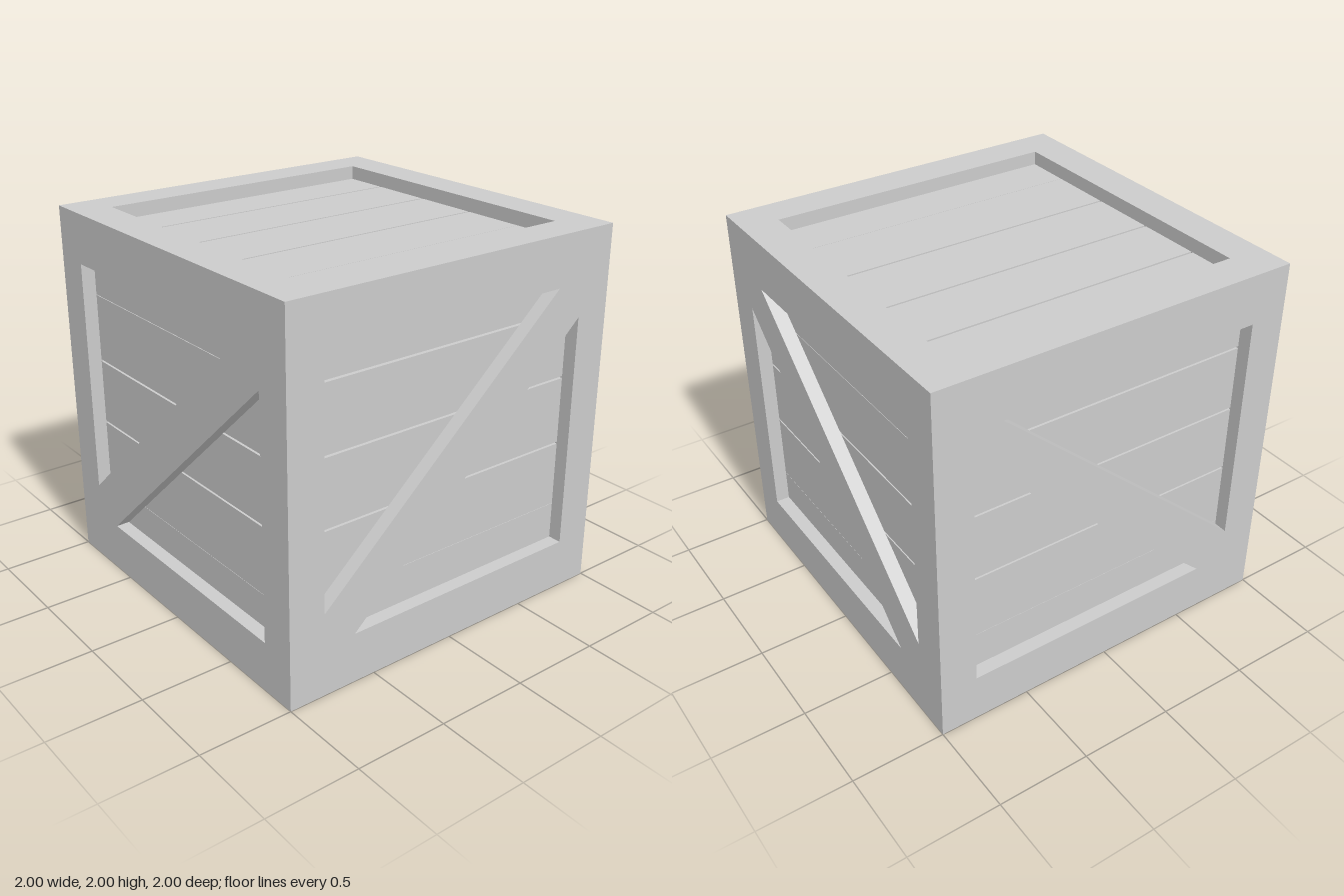
import * as THREE from 'three';

const POST = 0.2;      // frame thickness seen from above
const RAIL = 0.27;     // frame height at top and bottom
const RECESS = 0.075;  // depth of the planks behind the frame
const PLANK = 0.05;    // plank thickness
const INNER = 1 - POST;

export function createModel() {
  const crate = new THREE.Group();
  crate.name = 'woodenCrate';
  const material = new THREE.MeshStandardMaterial({ color: 0xcccccc, flatShading: true });

  const box = (parent, name, w, h, d, x, y, z) => {
    const mesh = new THREE.Mesh(new THREE.BoxGeometry(w, h, d), material);
    mesh.name = name;
    mesh.position.set(x, y, z);
    parent.add(mesh);
  };

  // Frame: four corner posts, plus a ring of rails at the bottom and the top
  const frame = new THREE.Group();
  frame.name = 'frame';
  crate.add(frame);
  for (const a of [-1, 1]) {
    const mid = 1 - POST / 2;
    for (const b of [-1, 1]) {
      box(frame, 'cornerPost', POST, 2 - 2 * RAIL, POST, a * mid, 1, b * mid);
      const railY = 1 + b * (1 - RAIL / 2);
      box(frame, 'longRail', 2, RAIL, POST, 0, railY, a * mid);
      box(frame, 'sideRail', POST, RAIL, 2 * INNER, a * mid, railY, 0);
    }
  }

  // Diagonal brace, trimmed to the opening and flush with the frame
  const braceShape = new THREE.Shape([
    [-0.8, 0.27], [-0.62, 0.27], [0.8, 1.55], [0.8, 1.73], [0.645, 1.73], [-0.8, 0.45],
  ].map(([x, y]) => new THREE.Vector2(x, y)));
  const braceGeometry = new THREE.ExtrudeGeometry(braceShape, { depth: RECESS, bevelEnabled: false });

  // Calls place(start, end) for each plank between the seams [position, gap]
  const layPlanks = (from, to, seams, place) => {
    let start = from;
    for (const [at, gap] of [...seams, [to, 0]]) {
      place(start, at - gap / 2);
      start = at + gap / 2;
    }
  };

  // Four walls of level planks; opposite walls line up through the crate
  const wallSeams = {
    front: [[0.45, 0.002], [0.82, 0.011], [1.18, 0.011], [1.55, 0.003]],
    side: [[0.475, 0.002], [0.833, 0.011], [1.205, 0.011], [1.567, 0.011]],
  };
  for (const [kind, turn] of [['front', 0], ['side', Math.PI / 2]]) {
    for (const s of [1, -1]) {
      const wall = new THREE.Group();
      wall.name = kind + (s > 0 ? 'Wall' : 'WallOpposite');
      wall.rotation.y = turn;
      crate.add(wall);
      layPlanks(RAIL, 2 - RAIL, wallSeams[kind], (a, b) =>
        box(wall, 'wallPlank', 2 * INNER, b - a, PLANK, 0, (a + b) / 2, s * (1 - RECESS - PLANK / 2)));
      const brace = new THREE.Mesh(braceGeometry, material);
      brace.name = 'diagonalBrace';
      brace.position.z = s > 0 ? 1 - RECESS : -1;
      wall.add(brace);
    }
  }

  // Lid and floor, planked from front to back
  const lidSeams = [[-0.54, 0.011], [-0.18, 0.011], [0.192, 0.011], [0.55, 0.002]];
  for (const [name, y] of [['lid', 2 - RECESS - PLANK / 2], ['floor', RECESS + PLANK / 2]]) {
    const panel = new THREE.Group();
    panel.name = name;
    crate.add(panel);
    layPlanks(-INNER, INNER, lidSeams, (a, b) =>
      box(panel, name + 'Plank', b - a, PLANK, 2 * INNER, (a + b) / 2, y, 0));
  }

  return crate;
}
